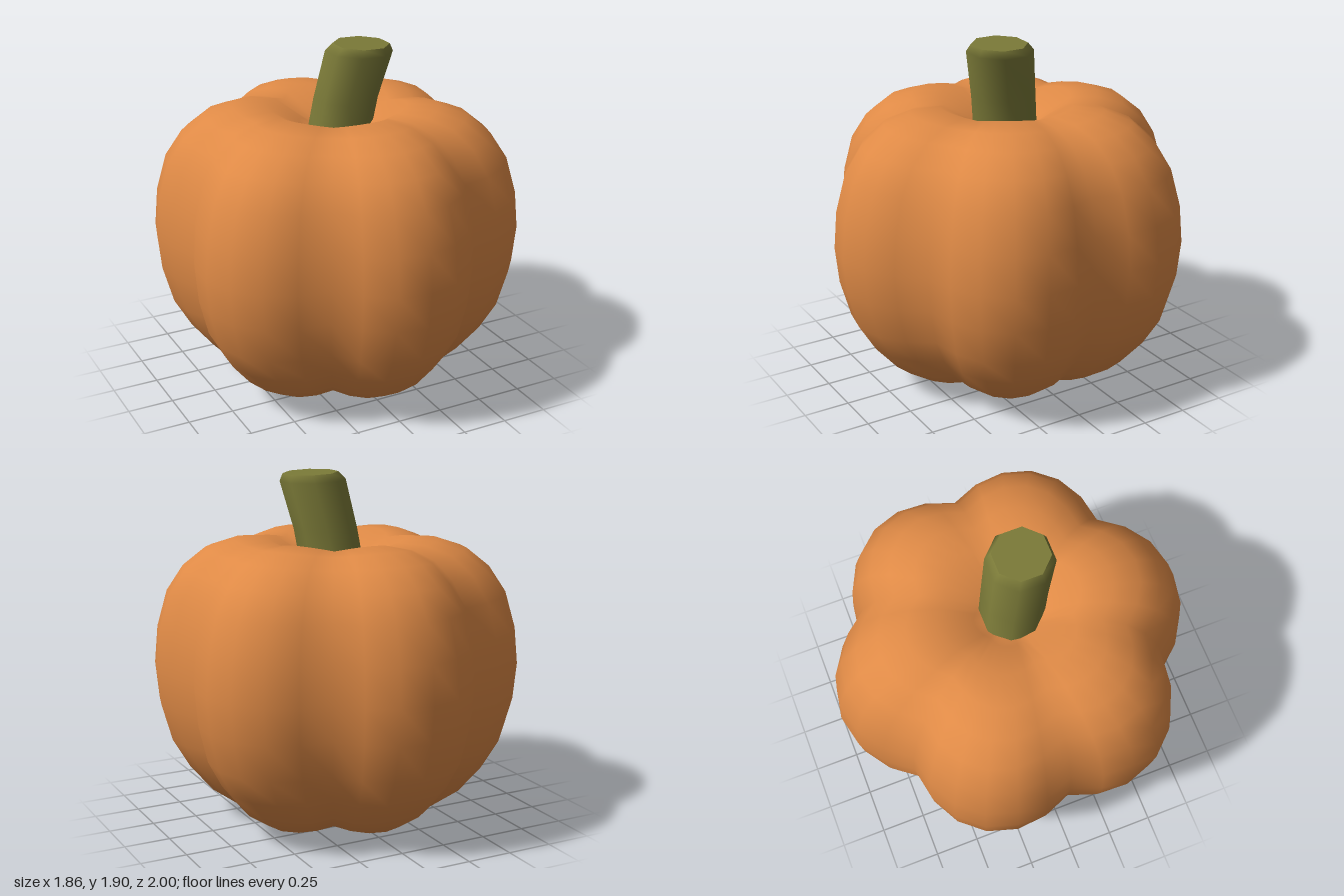
import * as THREE from 'three';
import { mergeVertices } from 'three/addons/utils/BufferGeometryUtils.js';

const rind = new THREE.MeshStandardMaterial({ color: 0xdf8a46 });
rind.name = 'orange rind';
const green = new THREE.MeshStandardMaterial({ color: 0x7b7a38 });
green.name = 'olive stem';

// Welds seams, moves every vertex by a rule and smooths the normals
function reshape(geometry, rule) {
  geometry.deleteAttribute('normal');
  geometry.deleteAttribute('uv');
  const g = mergeVertices(geometry);
  const p = g.attributes.position;
  const v = new THREE.Vector3();
  for (let i = 0; i < p.count; i++) {
    rule(v.fromBufferAttribute(p, i));
    p.setXYZ(i, v.x, v.y, v.z);
  }
  g.computeVertexNormals();
  return g;
}

// Ring heights from top pole to bottom pole
const RINGS = 16;
const HEIGHTS = [1.35, 1.465, 1.56, 1.55, 1.5, 1.4, 1.26, 1.06, 0.855,
  0.655, 0.45, 0.295, 0.15, 0.05, 0.014, 0.002, 0.02];

// Six-lobed squashed sphere with a sunken top
function bodyGeometry() {
  const g = reshape(new THREE.SphereGeometry(1, 36, RINGS), (v) => {
    const ring = Math.round((Math.acos(THREE.MathUtils.clamp(v.y, -1, 1)) / Math.PI) * RINGS);
    const pole = ring === 0 || ring === RINGS;
    const lobe = pole ? 1 : Math.abs(Math.cos(3 * Math.atan2(v.x, v.z)));
    const groove = 0.032 * (1 - lobe) * v.y; // creases sink at top and bottom
    const swell = 0.85 + 0.15 * lobe;
    v.set(v.x * swell, HEIGHTS[ring] - groove, v.z * swell);
  });
  return g.rotateY(THREE.MathUtils.degToRad(1.5));
}

// Stem leans further out as it rises
function lean(v) {
  const t = (v.y - 1.3) / 0.6;
  const shift = 0.1 * Math.pow(Math.max(t, 0), 1.3);
  v.x += shift;
  v.z += shift;
  if (v.y > 1.8) v.y -= 0.03 * (v.x - 0.1);
}

function createModel() {
  const model = new THREE.Group();
  model.name = 'pumpkin';

  const body = new THREE.Mesh(bodyGeometry(), rind);
  body.name = 'body';
  model.add(body);

  // Eight-sided stem with a bevelled rim
  const stem = new THREE.Group();
  stem.name = 'stem';
  const profile = [[0.172, 1.3], [0.172, 1.6], [0.178, 1.86], [0.15, 1.9]]
    .map(([r, y]) => new THREE.Vector2(r, y));
  const side = new THREE.LatheGeometry(profile, 8).rotateY(Math.PI / 8);
  const stalk = new THREE.Mesh(reshape(side, lean), green);
  stalk.name = 'stalk';
  const disc = new THREE.CircleGeometry(0.15, 8).rotateX(-Math.PI / 2)
    .rotateY(Math.PI / 8).translate(0, 1.9, 0);
  const cap = new THREE.Mesh(reshape(disc, lean), green);
  cap.name = 'stemCap';
  stem.add(stalk, cap);
  model.add(stem);

  return model;
}

export { createModel };
